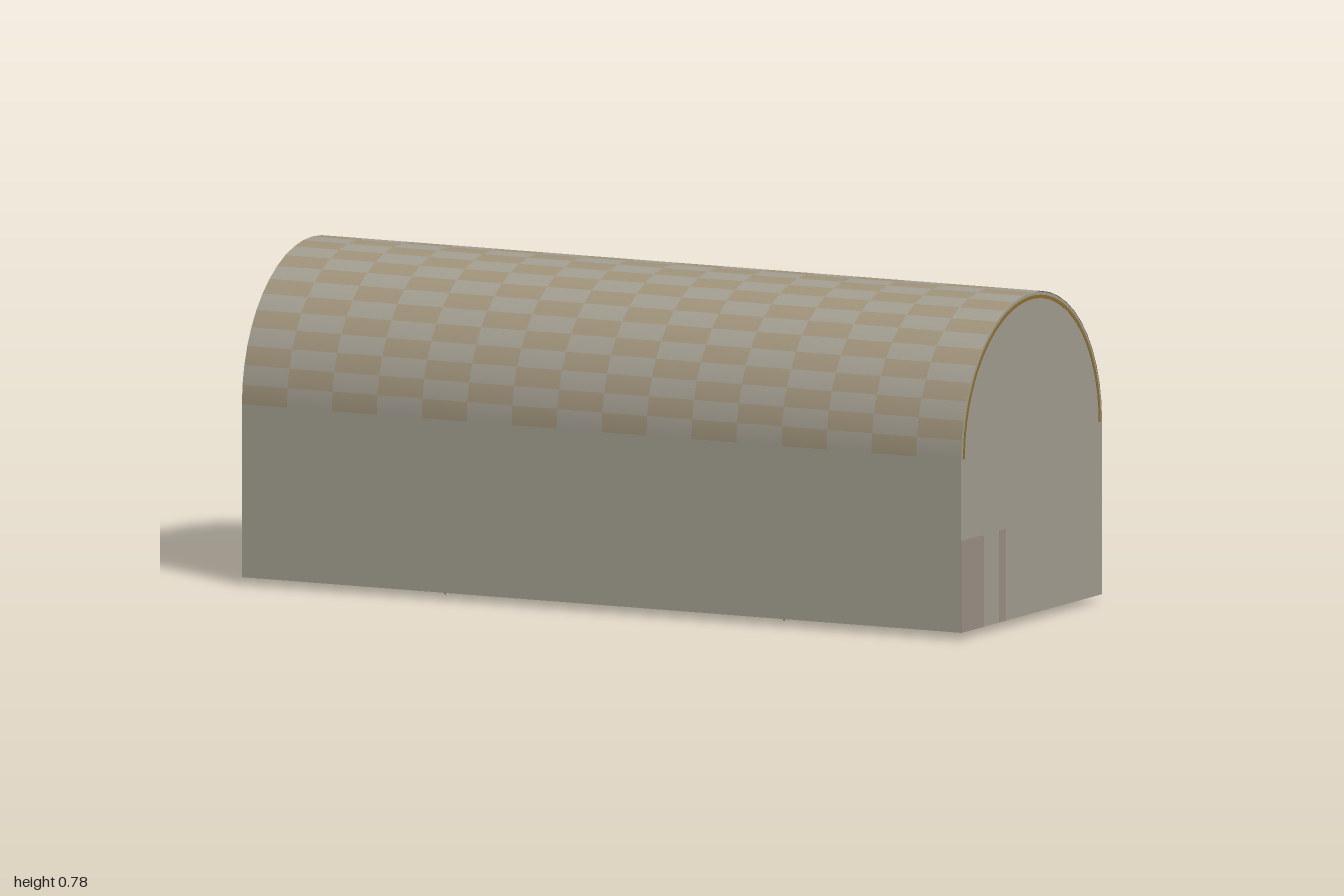
import * as THREE from 'three';

const W = 0.352, L = 0.955, BASE = 0.017, SPRING = 0.427, SEG = 24, COLS = 16;

const mat = (color, side = THREE.FrontSide) => new THREE.MeshStandardMaterial({ color, side });

// Half-ring outline standing on the spring line
function archShape(outer, inner) {
  const s = new THREE.Shape();
  s.absarc(0, SPRING, outer, 0, Math.PI, false);
  s.absarc(0, SPRING, inner, Math.PI, 0, true);
  s.closePath();
  return s;
}

// Every second panel of the vault, smooth across the curve
function vaultTiles(parity) {
  const pos = [], nor = [], idx = [];
  for (let i = 0; i < SEG; i++) {
    for (let j = 0; j < COLS; j++) {
      if ((i + j) % 2 !== parity) continue;
      const k = pos.length / 3;
      for (const [di, dj] of [[0, 0], [1, 0], [1, 1], [0, 1]]) {
        const a = Math.PI * (i + di) / SEG;
        const z = -L + 2 * L * (j + dj) / COLS;
        pos.push(Math.cos(a) * W, SPRING + Math.sin(a) * W, z);
        nor.push(Math.cos(a), Math.sin(a), 0);
      }
      idx.push(k, k + 1, k + 2, k, k + 2, k + 3);
    }
  }
  const g = new THREE.BufferGeometry();
  g.setAttribute('position', new THREE.Float32BufferAttribute(pos, 3));
  g.setAttribute('normal', new THREE.Float32BufferAttribute(nor, 3));
  // Corners run around the arch first, so reverse them to face outwards
  g.setIndex(idx.reverse());
  return g;
}

export function createModel() {
  const model = new THREE.Group();
  const hut = new THREE.Group();
  hut.name = 'barrelVaultHut';
  hut.rotation.y = 0.16;
  model.add(hut);

  const add = (name, geometry, material, x = 0, y = 0, z = 0) => {
    const m = new THREE.Mesh(geometry, material);
    m.name = name;
    m.position.set(x, y, z);
    hut.add(m);
    return m;
  };

  // Walls, floor and arched ends, with the top just under the vault panels
  const body = new THREE.Shape();
  body.moveTo(-W, BASE);
  body.lineTo(W, BASE);
  body.lineTo(W, SPRING);
  body.absarc(0, SPRING, W - 0.002, 0, Math.PI, false);
  body.lineTo(-W, SPRING);
  body.closePath();
  const bodyGeo = new THREE.ExtrudeGeometry(body, { depth: 2 * L, bevelEnabled: false, curveSegments: SEG });
  add('walls', bodyGeo, mat(0xa39e91), 0, 0, -L);

  // Chequered vault
  add('vaultPanelsGrey', vaultTiles(0), mat(0xa39e91, THREE.DoubleSide));
  add('vaultPanelsTan', vaultTiles(1), mat(0xa0937b, THREE.DoubleSide));

  // Brass arch line on both ends
  const trimGeo = new THREE.ExtrudeGeometry(archShape(0.343, 0.335), { depth: 0.003, bevelEnabled: false, curveSegments: SEG });
  const brass = mat(0x8f6f2e);
  add('frontArchTrim', trimGeo, brass, 0, 0, L - 0.002);
  add('backArchTrim', trimGeo, brass, 0, 0, -L - 0.001);

  // Faint low panels on the ends: [left edge, right edge, end]
  const panel = mat(0x9b8f85);
  for (const [x0, x1, end] of [[-W, -0.24, 1], [-0.16, -0.13, 1], [-0.24, -0.16, -1]]) {
    add('endPanel', new THREE.BoxGeometry(x1 - x0, 0.218, 0.002), panel, (x0 + x1) / 2, BASE + 0.109, end * L);
  }

  // Four small pointed feet under the floor
  const footGeo = new THREE.ConeGeometry(0.004, BASE, 6).rotateX(Math.PI);
  for (const x of [-0.287, -0.133]) {
    for (const z of [-0.45, 0.45]) add('foot', footGeo, mat(0x4a4640), x, BASE / 2, z);
  }
  return model;
}
